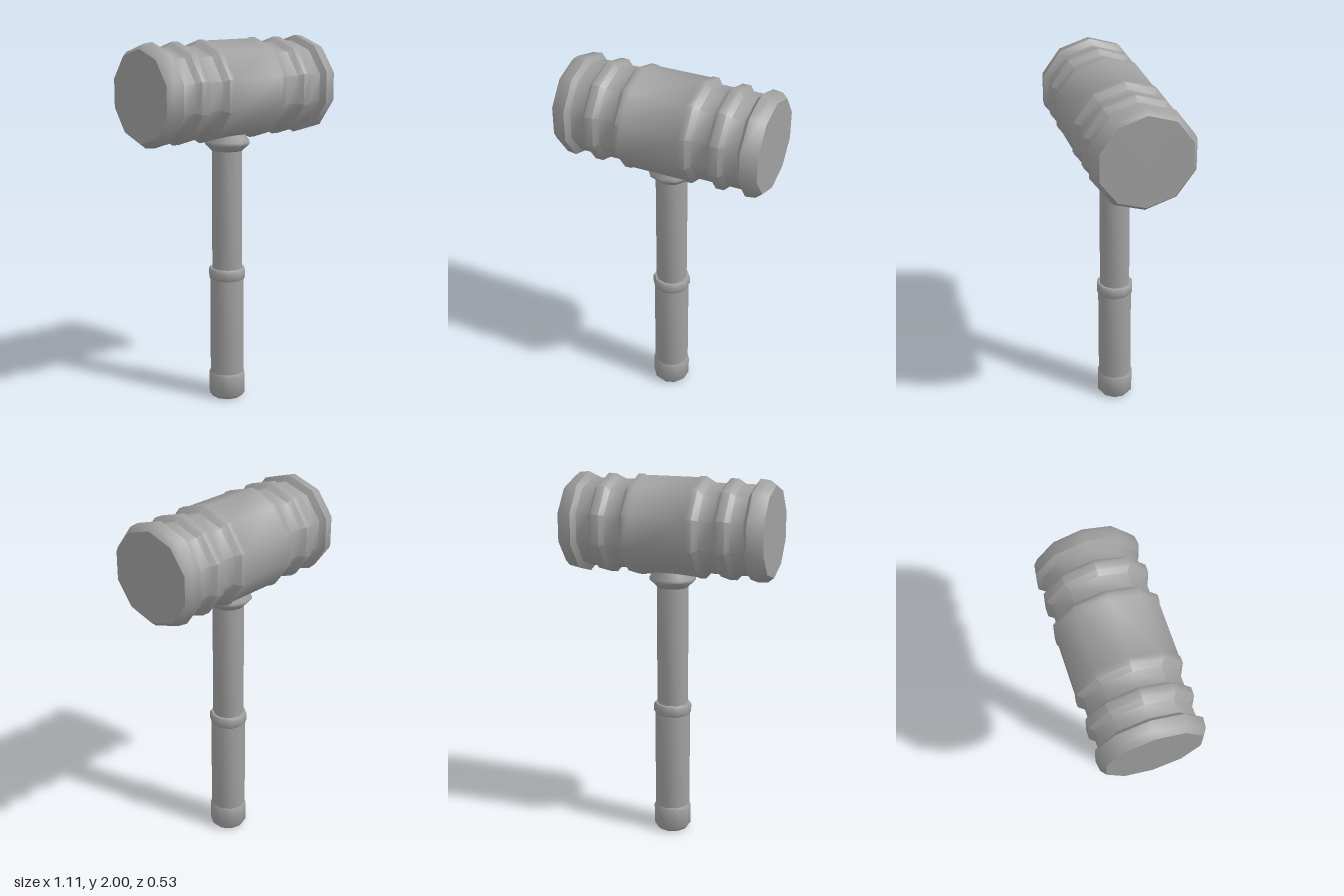
import * as THREE from 'three';
import { toCreasedNormals } from 'three/addons/utils/BufferGeometryUtils.js';

const SIDES = 10;

export function createModel() {
  const group = new THREE.Group();
  const grey = new THREE.MeshStandardMaterial({ color: 0xa0a0a0 });
  grey.name = 'grey';

  // Ten-sided turned part from [radius, height] points, listed bottom to top
  function turned(name, profile, phiStart = 0) {
    const points = profile.map(([r, y]) => new THREE.Vector2(r, y));
    const geometry = toCreasedNormals(new THREE.LatheGeometry(points, SIDES, phiStart), 0.9);
    const mesh = new THREE.Mesh(geometry, grey);
    mesh.name = name;
    group.add(mesh);
    return mesh;
  }

  // Head: half profile [radius, distance from the middle], mirrored to both ends
  const half = [
    [0.264, 0.143], [0.27, 0.155], [0.27, 0.188], [0.24, 0.214],
    [0.24, 0.294], [0.266, 0.317], [0.266, 0.36], [0.24, 0.383],
    [0.24, 0.453], [0.27, 0.475], [0.264, 0.527], [0.24, 0.557], [0, 0.557],
  ];
  const mirrored = half.map(([r, d]) => [r, -d]).reverse();
  const head = turned('head', [...mirrored, ...half], Math.PI / 2);
  head.geometry.rotateZ(-Math.PI / 2);
  head.geometry.scale(1, 1, 1.03);
  head.position.y = 1.73;

  // Flared neck under the head
  turned('neck', [[0, 1.405], [0.085, 1.405], [0.125, 1.443], [0.125, 1.458], [0.105, 1.485], [0.1, 1.53]]);

  // Handle shaft
  turned('shaft', [[0.085, 0.72], [0.085, 1.42]]);

  // Collar at the top of the grip
  turned('gripCollar', [[0.095, 0.685], [0.103, 0.7], [0.103, 0.738], [0.096, 0.75], [0, 0.75]]);

  // Grip
  turned('grip', [[0.096, 0.13], [0.096, 0.695]]);

  // Pommel with bevelled edges
  turned('pommel', [[0, 0], [0.086, 0], [0.103, 0.022], [0.103, 0.13], [0.096, 0.145], [0, 0.145]]);

  return group;
}
